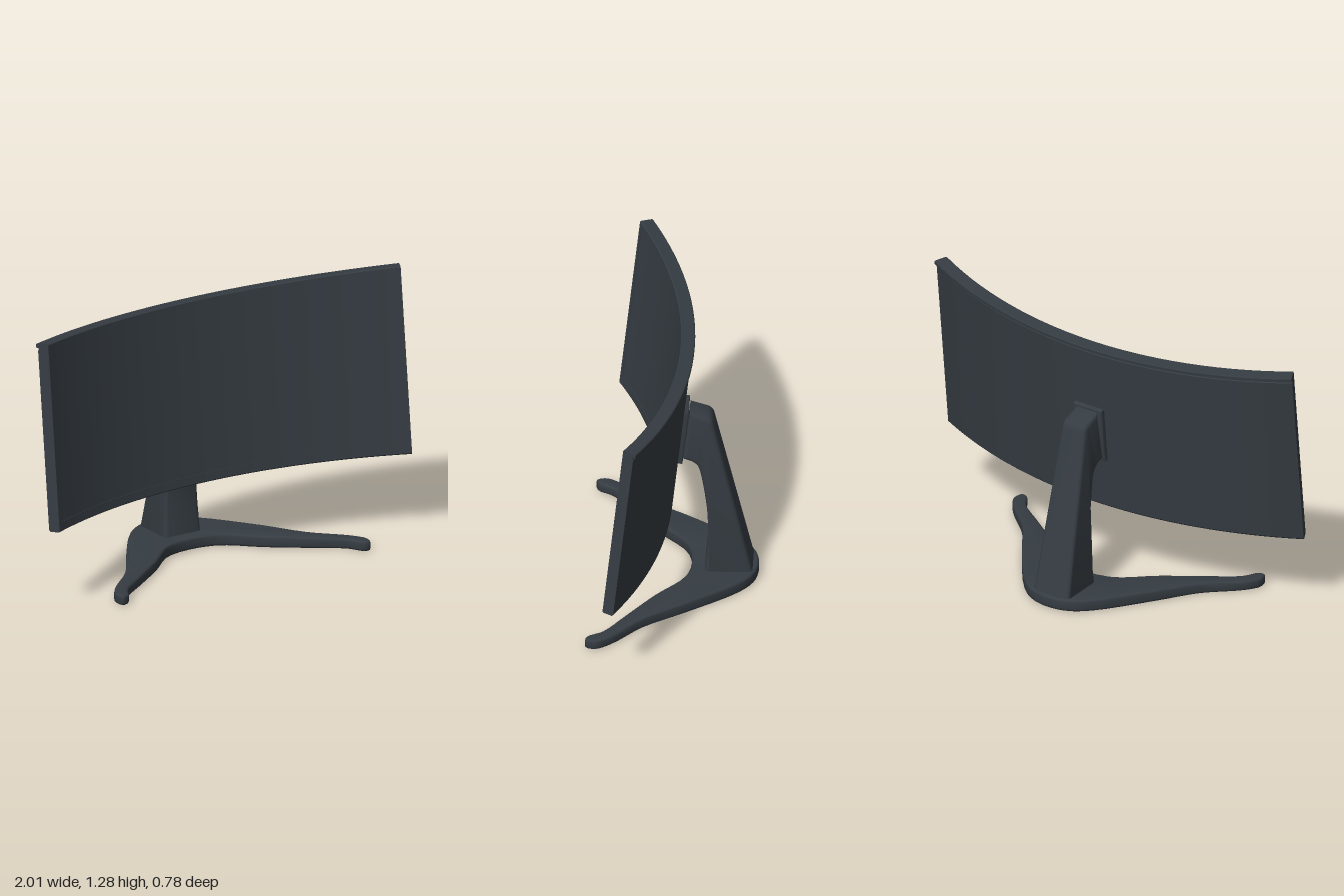
import * as THREE from 'three';
import { toCreasedNormals } from 'three/addons/utils/BufferGeometryUtils.js';

const R = 2.245;                       // radius of the curved back
const END = Math.asin(1 / R);          // half angle of the panel
const halfHeight = (a) => 0.434 + 0.014 * (a / END) ** 2;

// Sweeps a closed profile of [forward offset, edge (-1 bottom, 1 top), shift from edge] along the arc
function sweepArc(profile, a0, a1, segments) {
  const n = profile.length, pos = [], index = [];
  for (let i = 0; i <= segments; i++) {
    const a = a0 + (a1 - a0) * i / segments;
    for (const [t, edge, shift] of profile) {
      pos.push((R - t) * Math.sin(a), edge * halfHeight(a) + shift, R - (R - t) * Math.cos(a));
    }
  }
  for (let i = 0; i < segments; i++) {
    for (let j = 0; j < n; j++) {
      const k = (j + 1) % n, p = i * n, q = p + n;
      index.push(p + j, q + j, q + k, p + j, q + k, p + k);
    }
  }
  // End caps
  const outline = profile.map(([t, edge, shift]) => new THREE.Vector2(t, edge * 0.44 + shift));
  const last = segments * n;
  for (const [a, b, c] of THREE.ShapeUtils.triangulateShape(outline, [])) {
    index.push(a, b, c, last + a, last + c, last + b);
  }
  const geo = new THREE.BufferGeometry();
  geo.setAttribute('position', new THREE.Float32BufferAttribute(pos, 3));
  geo.setIndex(index);
  return toCreasedNormals(geo, 0.5);
}

// Moves every vertex by a rule
function reshape(geo, rule) {
  const p = geo.attributes.position, v = new THREE.Vector3();
  for (let i = 0; i < p.count; i++) {
    v.fromBufferAttribute(p, i);
    rule(v);
    p.setXYZ(i, v.x, v.y, v.z);
  }
  return geo;
}

function bevelled(shape, depth, bevel) {
  const geo = new THREE.ExtrudeGeometry(shape, {
    depth: depth - 2 * bevel, bevelEnabled: true, bevelThickness: bevel, bevelSize: bevel,
    bevelOffset: -bevel, bevelSegments: 3, curveSegments: 10,
  });
  return geo.translate(0, 0, bevel - depth / 2);
}

export function createModel() {
  const model = new THREE.Group();
  model.name = 'curvedMonitor';
  const charcoal = new THREE.MeshStandardMaterial({ color: 0x353c42 });
  charcoal.name = 'charcoal';
  const add = (parent, name, geo) => {
    const mesh = new THREE.Mesh(geo, charcoal);
    mesh.name = name;
    parent.add(mesh);
    return mesh;
  };

  // Tilted display: recessed screen, chin, rim and a groove under the rear top edge
  const display = new THREE.Group();
  display.name = 'display';
  display.position.set(0, 0.803, -0.04);
  display.rotation.x = -0.108;
  model.add(display);

  const body = [
    [0.056, -1, 0.005], [0.056, -1, 0.045], [0.053, -1, 0.045],
    [0.053, 1, -0.012], [0.056, 1, -0.012], [0.056, 1, -0.004], [0.051, 1, 0],
    [-0.006, 1, 0], [-0.01, 1, -0.004], [-0.01, 1, -0.018], [0.004, 1, -0.021],
    [0.004, 1, -0.029], [0, 1, -0.032],
    [0, -1, 0.008], [0.006, -1, 0], [0.051, -1, 0],
  ];
  add(display, 'panel', sweepArc(body, -END, END, 28));

  const sideStrip = [[0.056, -1, 0.005], [0.056, 1, -0.004], [0.045, 1, -0.004], [0.045, -1, 0.005]];
  add(display, 'rightBezel', sweepArc(sideStrip, -END, -END * 0.98, 1));
  add(display, 'leftBezel', sweepArc(sideStrip, END * 0.98, END, 1));

  // Mount plate on the back of the panel
  const plate = new THREE.Shape();
  plate.moveTo(-0.08, -0.138).lineTo(0.08, -0.138).lineTo(0.08, 0.138).lineTo(-0.08, 0.138);
  add(display, 'mountPlate', toCreasedNormals(bevelled(plate, 0.044, 0.005), 0.6))
    .position.set(0, -0.031, 0.002);

  // Neck: side outline in z and y, narrowing upwards
  const neck = new THREE.Shape();
  neck.moveTo(-0.37, 0.04);
  neck.lineTo(-0.185, 0.835);
  neck.quadraticCurveTo(-0.18, 0.862, -0.155, 0.872);
  neck.lineTo(-0.075, 0.897);
  neck.lineTo(-0.043, 0.652);
  neck.lineTo(-0.085, 0.638);
  neck.splineThru([[-0.11, 0.615], [-0.126, 0.57], [-0.145, 0.46], [-0.157, 0.35],
    [-0.158, 0.22], [-0.143, 0.04]].map(([z, y]) => new THREE.Vector2(z, y)));
  const neckGeo = reshape(bevelled(neck, 0.2, 0.022).rotateY(-Math.PI / 2), (v) => {
    v.x *= 1 - 0.43 * (v.y - 0.06);
  });
  add(model, 'neck', toCreasedNormals(neckGeo, 0.6));

  // V-shaped foot: mirrored outline in x and z, thinning towards the tips
  const half = [[0.1, -0.372], [0.19, -0.305], [0.375, -0.06], [0.5, 0.12], [0.65, 0.262],
    [0.695, 0.335], [0.682, 0.382], [0.65, 0.375], [0.605, 0.305], [0.47, 0.205],
    [0.3, 0.08], [0.12, -0.065]];
  const outline = [[0, -0.392], ...half, ...half.map(([x, z]) => [-x, z]).reverse()];
  const curve = new THREE.CatmullRomCurve3(
    outline.map(([x, z]) => new THREE.Vector3(x, z, 0)), true, 'centripetal');
  const points = curve.getPoints(100).slice(0, -1).map((p) => new THREE.Vector2(p.x, p.y));
  const footGeo = bevelled(new THREE.Shape(points), 0.06, 0.012).rotateX(Math.PI / 2);
  footGeo.translate(0, 0.03, 0);
  reshape(footGeo, (v) => {
    v.y *= 1 - 0.18 * THREE.MathUtils.smoothstep(v.z, -0.1, 0.35);
  });
  add(model, 'foot', toCreasedNormals(footGeo, 0.6));

  return model;
}
